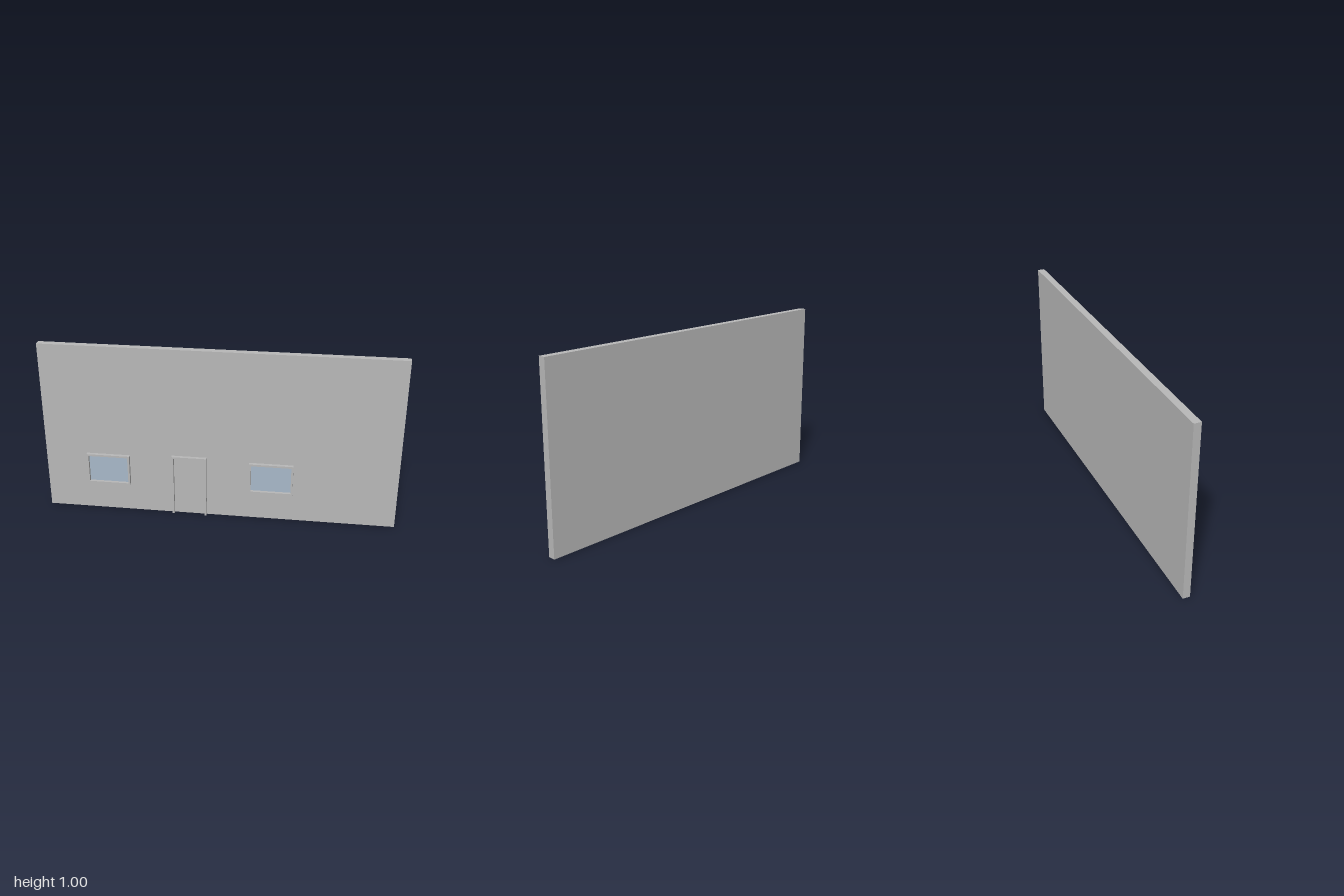
import * as THREE from 'three';

const wallGrey = new THREE.MeshStandardMaterial({ name: 'wallGrey', color: 0xb8b8b8 });
const glassBlue = new THREE.MeshStandardMaterial({ name: 'glassBlue', color: 0xa7b8c8 });

const WALL_FRONT = 0.01, WALL_BACK = -0.03, FRAME_DEPTH = 0.02, TRIM = 0.011;

// Axis-aligned box given by its limits
function block(name, material, x0, x1, y0, y1, z0, z1) {
  const mesh = new THREE.Mesh(new THREE.BoxGeometry(x1 - x0, y1 - y0, z1 - z0), material);
  mesh.position.set((x0 + x1) / 2, (y0 + y1) / 2, (z0 + z1) / 2);
  mesh.name = name;
  return mesh;
}

function rectangle(PathType, x0, x1, y0, y1) {
  return new PathType([[x0, y0], [x1, y0], [x1, y1], [x0, y1]].map(p => new THREE.Vector2(...p)));
}

// Trim extruded forward from the wall face
function trim(name, shape) {
  const geometry = new THREE.ExtrudeGeometry(shape, { depth: FRAME_DEPTH, bevelEnabled: false });
  const mesh = new THREE.Mesh(geometry, wallGrey);
  mesh.position.z = WALL_FRONT;
  mesh.name = name;
  return mesh;
}

// Four-sided frame around a recessed pane
function windowUnit(name, x0, x1, y0, y1) {
  const unit = new THREE.Group();
  unit.name = name;
  const inner = [x0 + TRIM, x1 - TRIM, y0 + TRIM, y1 - TRIM];
  const shape = rectangle(THREE.Shape, x0, x1, y0, y1);
  shape.holes.push(rectangle(THREE.Path, ...inner));
  unit.add(trim('windowFrame', shape));
  unit.add(block('windowPane', glassBlue, ...inner, WALL_FRONT, WALL_FRONT + 0.003));
  return unit;
}

// Three-sided door surround, open at the floor
function doorSurround(x0, x1, top) {
  const points = [
    [x0, 0], [x0 + TRIM, 0], [x0 + TRIM, top - TRIM], [x1 - TRIM, top - TRIM],
    [x1 - TRIM, 0], [x1, 0], [x1, top], [x0, top],
  ];
  return trim('doorFrame', new THREE.Shape(points.map(p => new THREE.Vector2(...p))));
}

export function createModel() {
  const model = new THREE.Group();
  model.name = 'facade';
  model.add(block('wall', wallGrey, -1, 1, 0, 1, WALL_BACK, WALL_FRONT));
  model.add(windowUnit('rightWindow', -0.76, -0.512, 0.168, 0.352));
  model.add(windowUnit('leftWindow', 0.172, 0.42, 0.168, 0.352));
  model.add(doorSurround(-0.268, -0.07, 0.367));
  return model;
}
